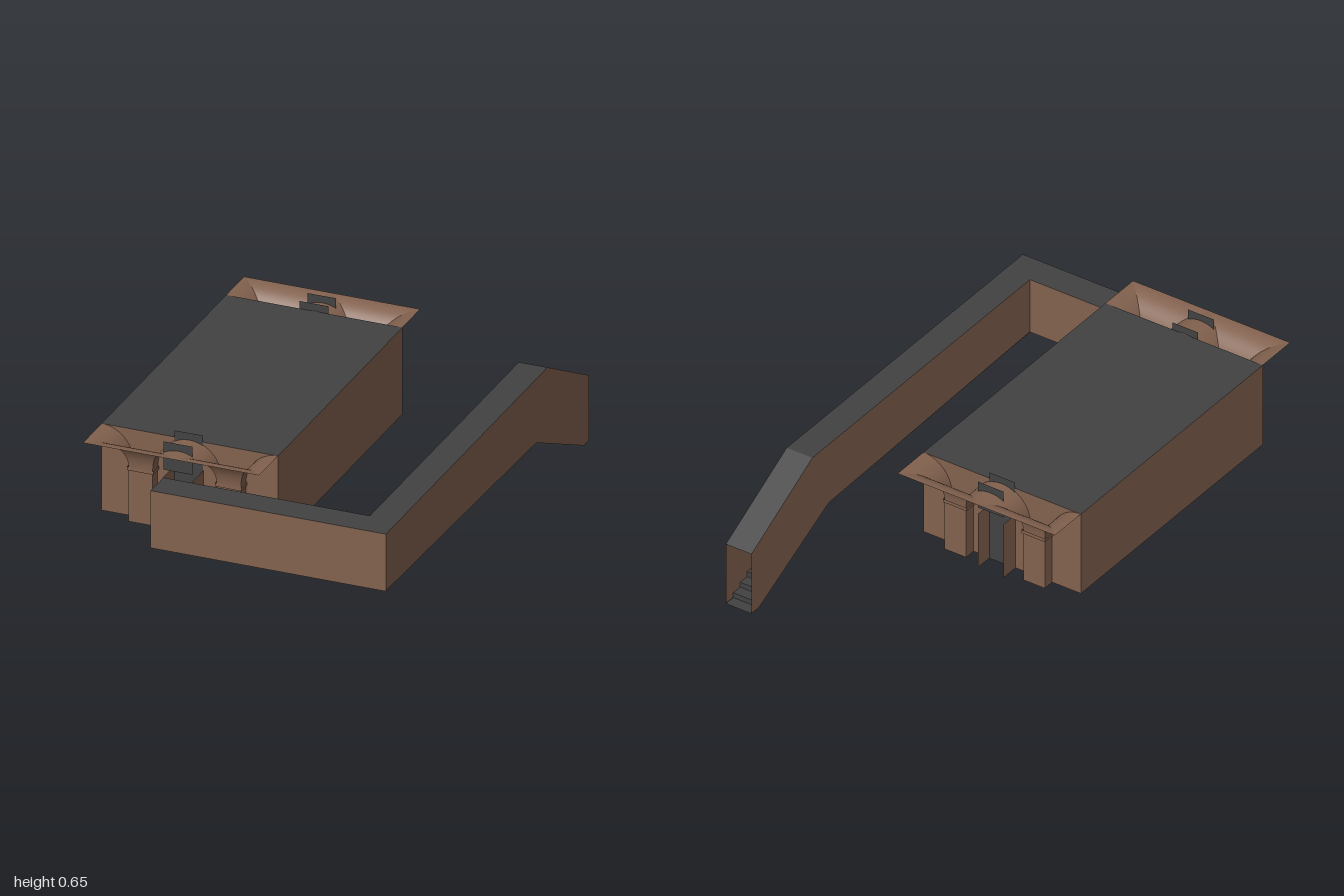
import * as THREE from 'three';

const brown = new THREE.MeshStandardMaterial({ color: 0x82614e, side: THREE.DoubleSide });
brown.name = 'brown wall';
const dark = new THREE.MeshStandardMaterial({ color: 0x424242, side: THREE.DoubleSide });
dark.name = 'dark grey';

// Ruled sheet between two matching rows of points
function sheet(a, b, flat = false) {
  const pos = [], idx = [];
  a.forEach((p, i) => {
    pos.push(...p, ...b[i]);
    if (i) { const k = 2 * i; idx.push(k - 2, k - 1, k, k - 1, k + 1, k); }
  });
  let g = new THREE.BufferGeometry();
  g.setAttribute('position', new THREE.Float32BufferAttribute(pos, 3));
  g.setIndex(idx);
  if (flat) g = g.toNonIndexed();
  g.computeVertexNormals();
  return g;
}

function add(parent, name, geo, mat) {
  const m = new THREE.Mesh(geo, mat);
  m.name = name;
  parent.add(m);
  return m;
}

// Upright rectangle facing along z
function plate(parent, name, x0, x1, y0, y1, z, mat) {
  return add(parent, name, sheet([[x0, y0, z], [x0, y1, z]], [[x1, y0, z], [x1, y1, z]]), mat);
}

// Upright rectangle facing along x
function sidePlate(parent, name, x, y0, y1, z0, z1, mat) {
  return add(parent, name, sheet([[x, y0, z0], [x, y1, z0]], [[x, y0, z1], [x, y1, z1]]), mat);
}

// Three-sided flared sheet from rows of [halfWidth, y, depth]
function threeSided(parent, name, cx, z, dir, rows) {
  const corner = (sx, sz) => rows.map(([w, y, d]) => [cx + sx * w, y, z + dir * sz * d]);
  const ring = [corner(-1, 0), corner(-1, 1), corner(1, 1), corner(1, 0)];
  for (let i = 0; i < 3; i++) {
    const flip = dir > 0;
    add(parent, name, flip ? sheet(ring[i], ring[i + 1]) : sheet(ring[i + 1], ring[i]), brown);
  }
}

export function createModel() {
  const model = new THREE.Group();
  model.name = 'building';

  // Main block with dark roof and underside
  const hall = add(model, 'hall', new THREE.BoxGeometry(0.735, 0.37, 1.225),
    [brown, brown, dark, dark, brown, brown]);
  hall.position.set(-0.2775, 0.435, 0.15);

  // Flared columns and open shaft at each end
  for (const [z, dir, depth, shaft] of [[0.7625, 1, 0.185, 0.11], [-0.4625, -1, 0.175, 0.08]]) {
    const end = new THREE.Group();
    end.name = dir > 0 ? 'frontEnd' : 'backEnd';
    model.add(end);
    for (const cx of [-0.461, -0.094]) {
      const flare = [];
      for (let i = 0; i <= 14; i++) {
        const a = (i / 14) * Math.PI / 2, s = Math.sin(a);
        flare.push([0.1835 - 0.1335 * s, 0.48 + 0.14 * Math.cos(a), depth - (depth - 0.05) * s]);
      }
      threeSided(end, 'flaredCapital', cx, z, dir, flare);
      threeSided(end, 'columnStem', cx, z, dir, [[0.05, 0.48, 0.05], [0.05, 0.25, 0.05]]);
      threeSided(end, 'columnBand', cx, z, dir, [[0.055, 0.485, 0.055], [0.055, 0.47, 0.055]]);
    }
    const outer = z + dir * shaft;
    plate(end, 'shaftBack', -0.34, -0.22, 0.25, 0.65, z + dir * 0.004, dark);
    plate(end, 'shaftHeader', -0.34, -0.22, 0.53, 0.65, outer, dark);
    for (const x of [-0.34, -0.22]) sidePlate(end, 'shaftSide', x, 0.25, 0.5, z, outer, brown);
  }

  // Hollow covered passage: long arm running back and down
  const passage = new THREE.Group();
  passage.name = 'passage';
  model.add(passage);
  const x0 = 0.52, x1 = 0.64;
  const profile = (front) => {
    const s = new THREE.Shape();
    [[front, 0.255], [front, 0.497], [-0.59, 0.497], [-1, 0.28], [-1, 0.005], [-0.95, 0.003], [-0.48, 0.225]]
      .forEach(([z, y], i) => (i ? s.lineTo(-z, y) : s.moveTo(-z, y)));
    return new THREE.ShapeGeometry(s).rotateY(Math.PI / 2);
  };
  add(passage, 'outerWall', profile(1), brown).position.x = x1;
  add(passage, 'innerWall', profile(0.875), brown).position.x = x0;

  const across = (name, pts) => add(passage, name,
    sheet(pts.map(([z, y]) => [x0, y, z]), pts.map(([z, y]) => [x1, y, z]), true), dark);
  across('passageRoof', [[1, 0.497], [-0.59, 0.497], [-1, 0.28]]);

  // Floor ending in a flight of steps
  const floor = [[1, 0.255], [-0.48, 0.225]];
  const steps = 10;
  for (let i = 1; i <= steps; i++) {
    const z = -0.48 - 0.47 * i / steps;
    floor.push([z, floor[floor.length - 1][1]], [z, 0.225 - 0.222 * i / steps]);
  }
  floor.push([-1, 0.003]);
  across('steppedFloor', floor);

  // Short arm across the front
  plate(passage, 'frontWall', -0.34, x1, 0.253, 0.497, 1, brown);
  plate(passage, 'rearWall', -0.34, x0, 0.253, 0.497, 0.875, brown);
  sidePlate(passage, 'endWall', -0.34, 0.253, 0.497, 0.875, 1, brown);
  for (const [name, y] of [['armRoof', 0.497], ['armFloor', 0.254]]) {
    add(passage, name, sheet([[-0.34, y, 0.875], [-0.34, y, 1]], [[x0, y, 0.875], [x0, y, 1]]), dark);
  }
  return model;
}
